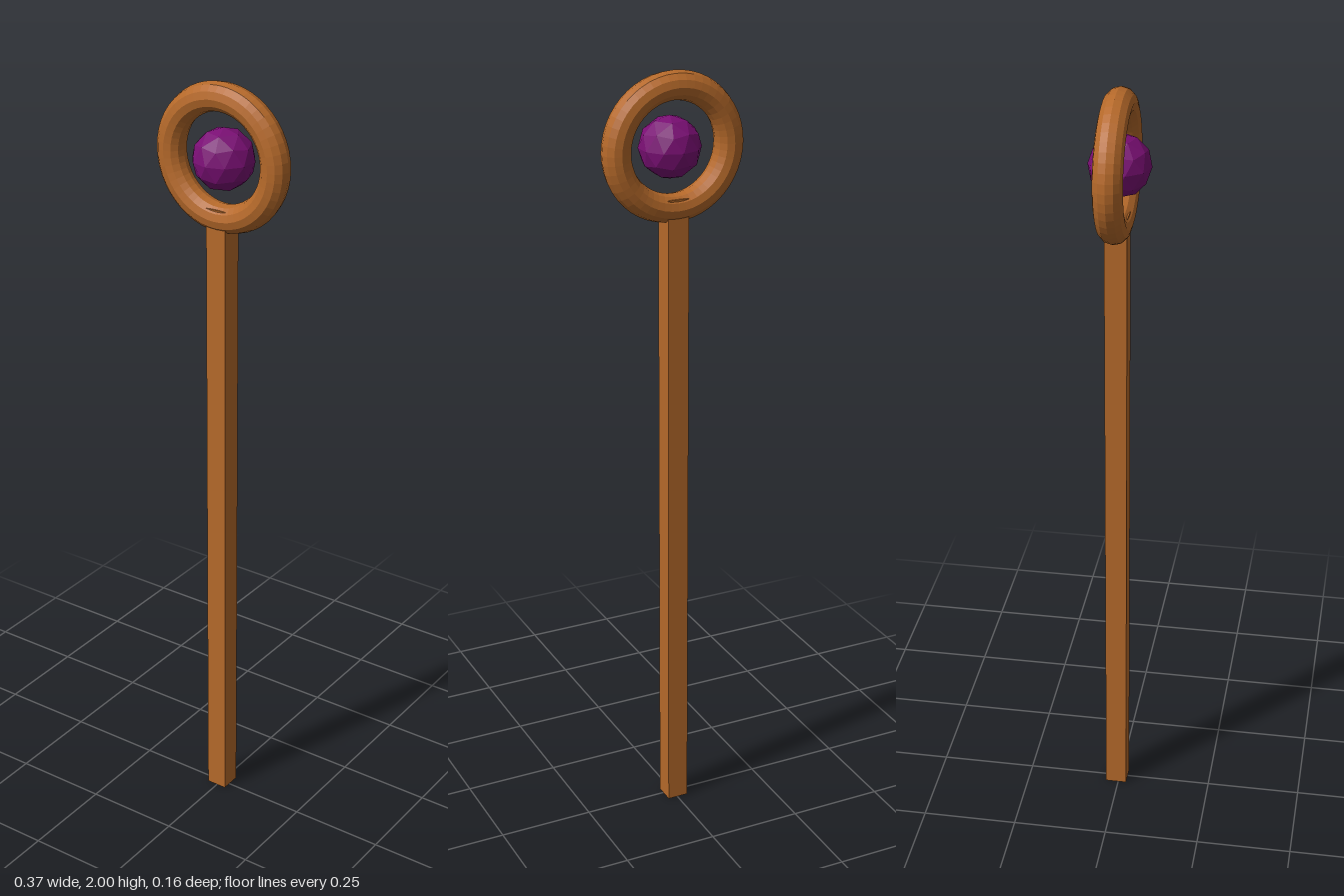
import * as THREE from 'three';

const wood = new THREE.MeshStandardMaterial({ color: 0xb5692a, flatShading: true });
const gem = new THREE.MeshStandardMaterial({ color: 0x7a0f74, flatShading: true });

function addPart(group, name, geometry, material, x, y, z) {
  const mesh = new THREE.Mesh(geometry, material);
  mesh.name = name;
  mesh.position.set(x, y, z);
  group.add(mesh);
  return mesh;
}

export function createModel() {
  const staff = new THREE.Group();
  staff.name = 'staff';

  // Square shaft, its top buried in the ring
  const height = 1.69;
  addPart(staff, 'shaft', new THREE.BoxGeometry(0.056, height, 0.056), wood, -0.002, height / 2, -0.006);

  // Upright ring at the head
  addPart(staff, 'ring', new THREE.TorusGeometry(0.15, 0.0365, 12, 48), wood, 0, 1.8135, -0.0055);

  // Faceted orb floating in the ring, turned so one corner points straight up
  const orb = new THREE.IcosahedronGeometry(0.078, 1);
  orb.rotateZ(-Math.atan(2 / (1 + Math.sqrt(5))));
  addPart(staff, 'orb', orb, gem, 0.006, 1.814, -0.001);

  return staff;
}
